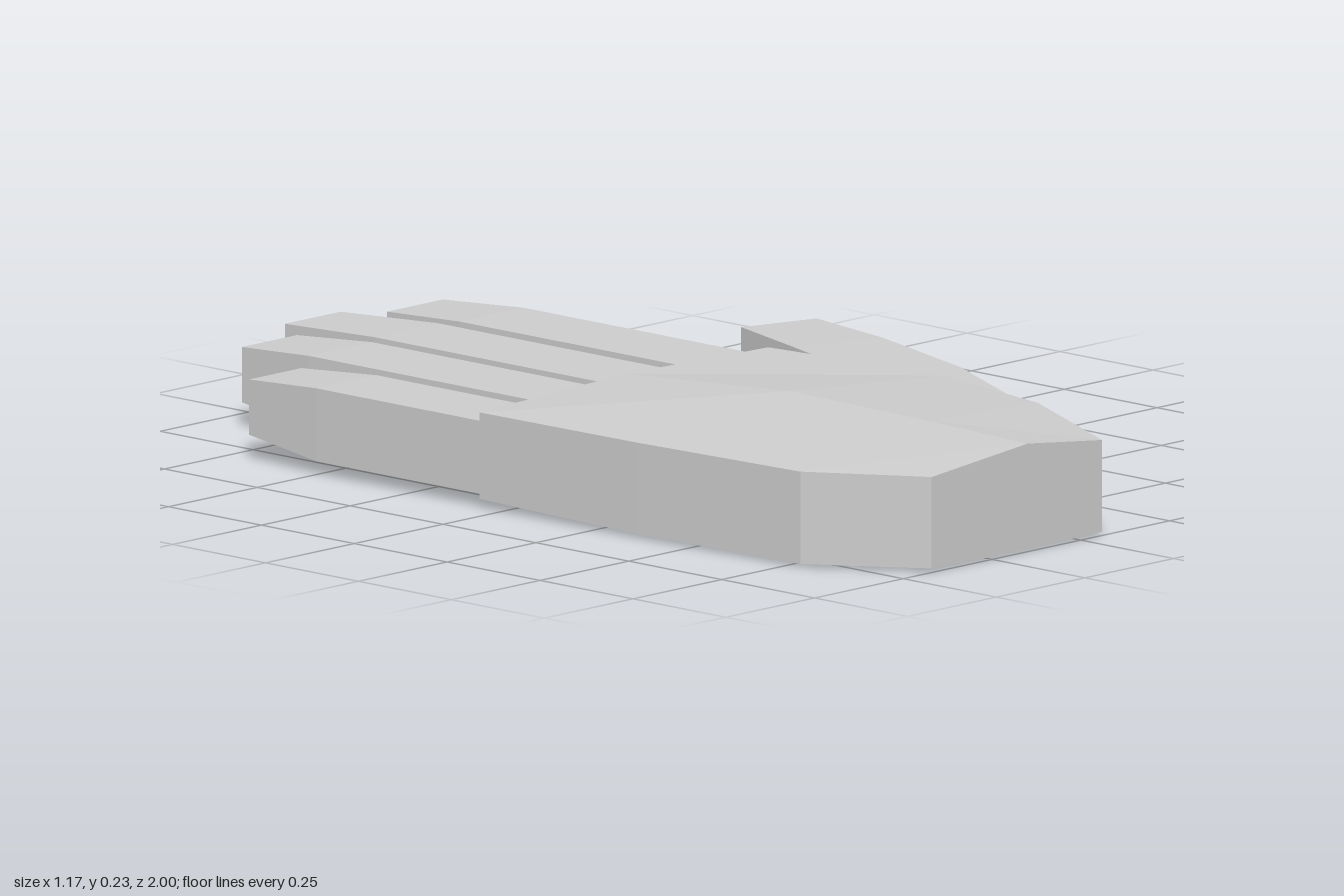
import * as THREE from 'three';

const material = new THREE.MeshStandardMaterial({ color: 0xcccccc, flatShading: true });

// Skins a list of equal-length rings (counter-clockwise seen from the first ring's end) and caps both ends.
function loft(name, rings) {
  const pos = [];
  const tri = (...pts) => pts.forEach((p) => pos.push(...p));
  const n = rings[0].length;
  for (let i = 0; i < rings.length - 1; i++) {
    for (let j = 0; j < n; j++) {
      const k = (j + 1) % n;
      const a = rings[i][j], b = rings[i][k], c = rings[i + 1][k], d = rings[i + 1][j];
      tri(a, d, c);
      tri(a, c, b);
    }
  }
  const first = rings[0], last = rings[rings.length - 1];
  for (let j = 1; j < n - 1; j++) {
    tri(first[0], first[j], first[j + 1]);
    tri(last[0], last[j + 1], last[j]);
  }
  const geometry = new THREE.BufferGeometry();
  geometry.setAttribute('position', new THREE.Float32BufferAttribute(pos, 3));
  geometry.computeVertexNormals();
  const mesh = new THREE.Mesh(geometry, material);
  mesh.name = name;
  return mesh;
}

// Four-cornered ring between two plan points [x, z].
const boxRing = ([x0, z0], [x1, z1], bottom, top) => [
  [x0, bottom, z0], [x1, bottom, z1], [x1, top, z1], [x0, top, z0],
];

// Six-cornered palm ring with a shallow ridge above and below.
const palmRing = ([x0, z0], [x1, z1], zMid, edgeLow, midLow, edgeHigh, midHigh) => [
  [x0, edgeLow, z0], [-0.15, midLow, zMid], [x1, edgeLow, z1],
  [x1, edgeHigh, z1], [-0.15, midHigh, zMid], [x0, edgeHigh, z0],
];

export function createModel() {
  const hand = new THREE.Group();
  hand.name = 'hand';

  // Palm, from wrist to knuckles
  hand.add(loft('palm', [
    palmRing([-0.42, 1], [0.06, 1], 1, 0.008, 0.004, 0.19, 0.215),
    palmRing([-0.56, 0.78], [0.225, 0.67], 0.73, 0.006, 0, 0.19, 0.221),
    palmRing([-0.583, 0.36], [0.285, 0.36], 0.36, 0.008, 0.003, 0.19, 0.226),
    palmRing([-0.59, -0.055], [0.24, -0.07], -0.08, 0.018, 0.013, 0.19, 0.196),
  ]));

  // Fingers: inner x, outer x, knee z, tip z
  const fingers = [
    ['littleFinger', -0.585, -0.415, -0.5, -0.69],
    ['ringFinger', -0.375, -0.197, -0.72, -0.91],
    ['middleFinger', -0.16, 0.02, -0.75, -1],
    ['indexFinger', 0.06, 0.24, -0.73, -0.935],
  ];
  for (const [name, x0, x1, knee, tip] of fingers) {
    hand.add(loft(name, [
      boxRing([x0, 0], [x1, 0], 0.027, 0.172),
      boxRing([x0, knee], [x1, knee], 0.027, 0.172),
      boxRing([x0 + 0.011, tip], [x1 - 0.012, tip], 0.05, 0.16),
    ]));
  }

  // Thumb, bending outward from the side of the palm
  hand.add(loft('thumb', [
    boxRing([0.1, 0.55], [0.23, 0.66], 0.026, 0.172),
    boxRing([0.25, 0.16], [0.425, 0.27], 0.026, 0.172),
    boxRing([0.335, -0.09], [0.52, -0.03], 0.026, 0.172),
    boxRing([0.425, -0.32], [0.585, -0.27], 0.034, 0.165),
  ]));

  return hand;
}
